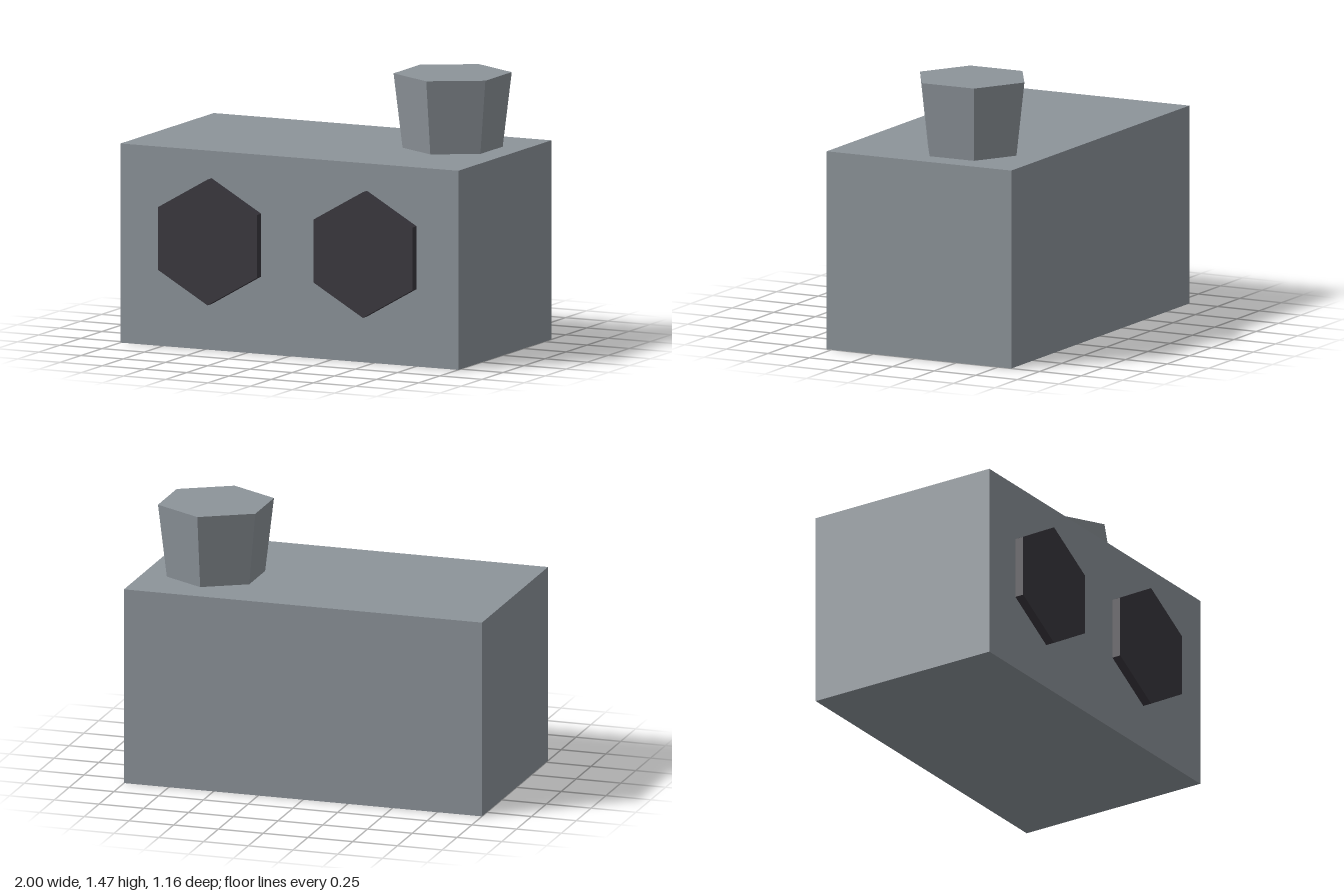
import * as THREE from 'three';

export function createModel() {
  const model = new THREE.Group();
  const casing = new THREE.MeshStandardMaterial({ color: 0x8d949a });
  casing.name = 'grey metal';
  const dark = new THREE.MeshStandardMaterial({ color: 0x3a373e });
  dark.name = 'dark grey';
  casing.flatShading = dark.flatShading = true;

  function add(name, geometry, material, x, y, z) {
    const mesh = new THREE.Mesh(geometry, material);
    mesh.name = name;
    mesh.position.set(x, y, z);
    model.add(mesh);
    return mesh;
  }

  // Main block
  add('body', new THREE.BoxGeometry(2, 1.07, 1.11), casing, 0, 0.535, -0.025);

  // Flared six-sided stack on the left of the roof
  add('stack', new THREE.CylinderGeometry(0.314, 0.266, 0.4, 6), casing, 0.63, 1.27, -0.147);

  // Pair of hexagonal plates on the front
  for (const side of [-1, 1]) {
    const plate = add(side > 0 ? 'leftFrontPlate' : 'rightFrontPlate',
      new THREE.CylinderGeometry(0.338, 0.338, 0.05, 6), dark, side * 0.46, 0.585, 0.555);
    plate.rotation.x = Math.PI / 2;
  }
  return model;
}
